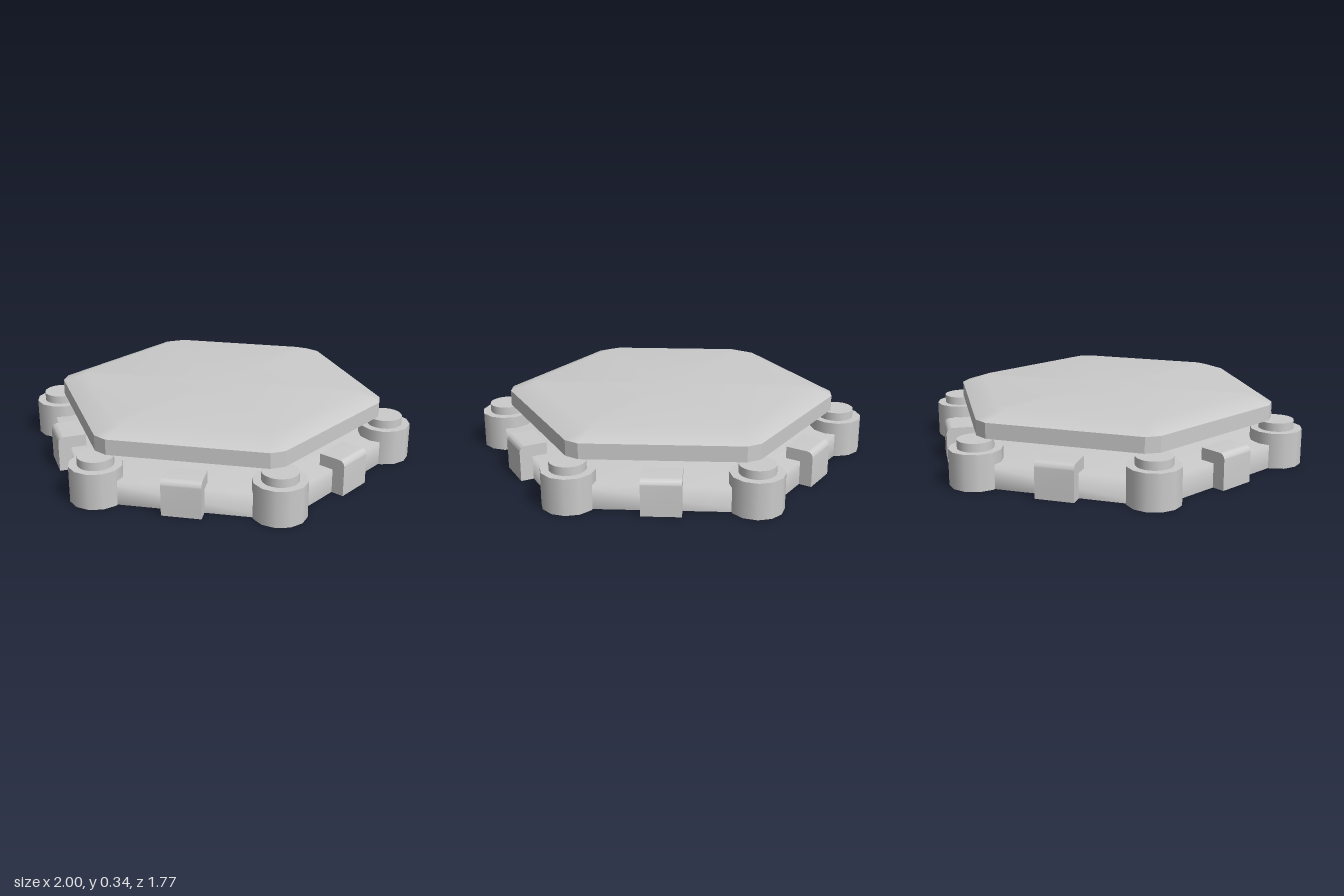
import * as THREE from 'three';
import { toCreasedNormals } from 'three/addons/utils/BufferGeometryUtils.js';

const material = new THREE.MeshStandardMaterial({ color: 0xcccccc });
const openMaterial = new THREE.MeshStandardMaterial({ color: 0xcccccc, side: THREE.DoubleSide });

function addMesh(parent, name, geometry, mat = material) {
  const mesh = new THREE.Mesh(geometry, mat);
  mesh.name = name;
  parent.add(mesh);
  return mesh;
}

// Hexagon with its corners cut off; apothem to the flats, cut along each edge
function cutHexagon(apothem, cut) {
  const corner = (i) => new THREE.Vector2(
    Math.cos(i * Math.PI / 3), Math.sin(i * Math.PI / 3)
  ).multiplyScalar(apothem / Math.cos(Math.PI / 6));
  const points = [];
  for (let i = 0; i < 6; i++) {
    const c = corner(i);
    for (const n of [i - 1, i + 1]) {
      points.push(c.clone().add(corner(n).sub(c).setLength(cut)));
    }
  }
  return points;
}

// Smooth bevelled top of the lid: outer ring, inner ring, centre
function crownGeometry(outer, inner, y0, y1) {
  const n = outer.length;
  const positions = [];
  for (const p of outer) positions.push(p.x, y0, -p.y);
  for (const p of inner) positions.push(p.x, y1, -p.y);
  positions.push(0, y1, 0);
  const index = [];
  for (let i = 0; i < n; i++) {
    const j = (i + 1) % n;
    index.push(i, j, n + j, i, n + j, n + i, n + i, n + j, 2 * n);
  }
  const geometry = new THREE.BufferGeometry();
  geometry.setAttribute('position', new THREE.Float32BufferAttribute(positions, 3));
  geometry.setIndex(index);
  geometry.computeVertexNormals();
  return geometry;
}

// L-shaped clip that hooks over the edge of the base
function clipGeometry() {
  const width = 0.19, round = 0.03;
  const shape = new THREE.Shape();
  shape.moveTo(0.80, 0);
  shape.lineTo(0.87, 0);
  shape.lineTo(0.87, 0.18 - round);
  shape.absarc(0.87 - round, 0.18 - round, round, 0, Math.PI / 2, false);
  shape.lineTo(0.73, 0.18);
  shape.lineTo(0.73, 0.12);
  shape.lineTo(0.80, 0.12);
  shape.closePath();
  const geometry = new THREE.ExtrudeGeometry(shape, { depth: width, bevelEnabled: false, curveSegments: 4 });
  geometry.translate(0, 0, -width / 2);
  return toCreasedNormals(geometry, 0.6);
}

export function createModel() {
  const model = new THREE.Group();
  model.name = 'hexagonalPlatform';

  // Hollow base, open underneath
  const profile = [[0.93, 0], [0.93, 0.12], [0, 0.12]].map(([x, y]) => new THREE.Vector2(x, y));
  addMesh(model, 'base', new THREE.LatheGeometry(profile, 6, Math.PI / 2), openMaterial);

  // Lid: flat-sided slab with a bevelled crown
  const lid = new THREE.Group();
  lid.name = 'lid';
  model.add(lid);
  const outline = cutHexagon(0.745, 0.043);
  const slab = new THREE.ExtrudeGeometry(new THREE.Shape(outline), { depth: 0.078, bevelEnabled: false });
  slab.rotateX(-Math.PI / 2).translate(0, 0.222, 0);
  addMesh(lid, 'lidSlab', slab);
  addMesh(lid, 'lidCrown', crownGeometry(outline, cutHexagon(0.632, 0.036), 0.3, 0.343));

  // Corner posts and edge clips, six of each
  const wall = new THREE.CylinderGeometry(0.13, 0.13, 0.18, 12, 1, true).translate(0, 0.09, 0);
  const cap = new THREE.CircleGeometry(0.13, 12).rotateX(-Math.PI / 2).translate(0, 0.18, 0);
  const knob = new THREE.CylinderGeometry(0.088, 0.088, 0.042, 24).translate(0, 0.201, 0);
  const clip = clipGeometry();
  for (let i = 0; i < 6; i++) {
    const angle = i * Math.PI / 3;
    const post = new THREE.Group();
    post.name = 'cornerPost';
    post.position.set(0.87 * Math.cos(angle), 0, 0.87 * Math.sin(angle));
    addMesh(post, 'postWall', wall, openMaterial);
    addMesh(post, 'postTop', cap, openMaterial);
    addMesh(post, 'postKnob', knob);
    model.add(post);

    addMesh(model, 'edgeClip', clip).rotation.y = angle + Math.PI / 6;
  }
  return model;
}
